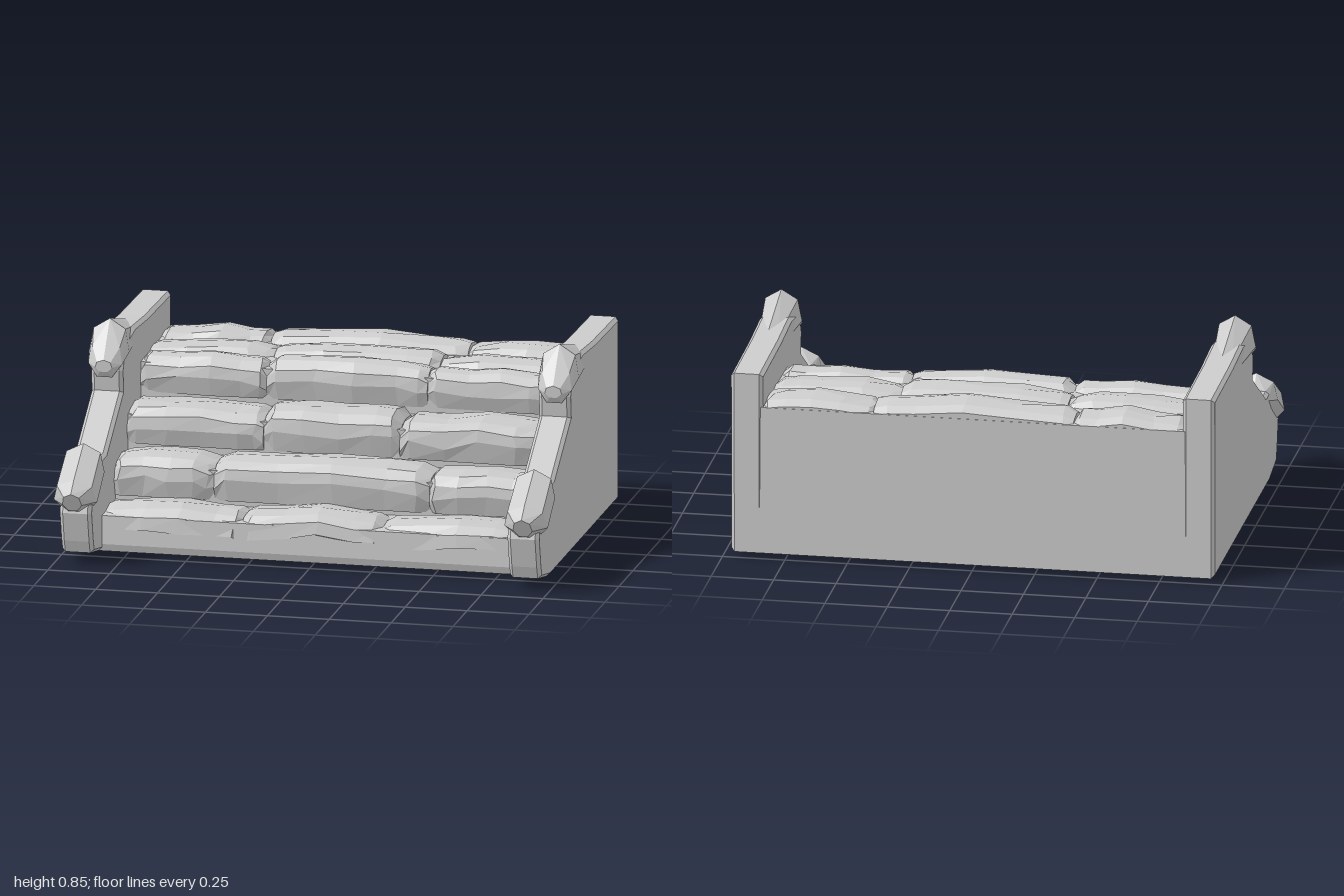
import * as THREE from 'three';
import { ConvexGeometry } from 'three/addons/geometries/ConvexGeometry.js';

const stoneMat = new THREE.MeshStandardMaterial({ color: 0xcccccc, flatShading: true });

function seeded(seed) {
  let s = seed * 7919 + 17;
  return () => {
    s = (s * 16807) % 2147483647;
    return s / 2147483647 - 0.5;
  };
}

function addMesh(parent, name, geometry) {
  const mesh = new THREE.Mesh(geometry, stoneMat);
  mesh.name = name;
  parent.add(mesh);
  return mesh;
}

// Extrude a side profile of [z, y] points from x0 to x1
function sideExtrude(points, x0, x1, bevel = 0) {
  const shape = new THREE.Shape(points.map(([z, y]) => new THREE.Vector2(z, y)));
  const geo = new THREE.ExtrudeGeometry(shape, {
    depth: x1 - x0 - 2 * bevel, bevelEnabled: bevel > 0, bevelSize: bevel,
    bevelThickness: bevel, bevelOffset: -bevel, bevelSegments: 1,
  });
  return geo.rotateY(-Math.PI / 2).translate(x1 - bevel, 0, 0);
}

// A roughly hewn slab: a chamfered cross-section swept along x, shrunk at its ends
function slabGeometry(x0, x1, yLow, yTop, zBack, zFront, seed) {
  const rnd = seeded(seed);
  for (let i = 0; i < 5; i++) rnd();
  const stations = [0, 0.06, 0.3, 0.55, 0.8, 0.94, 1];
  const inset = [0.028, 0.008, 0, -0.006, 0, 0.008, 0.028];
  const pos = [], index = [];
  const n = 8;
  stations.forEach((t, i) => {
    const x = x0 + (x1 - x0) * t;
    const d = inset[i];
    const top = yTop - d + rnd() * 0.014;
    const front = zFront - d * 0.7 + rnd() * 0.016;
    const depth = front - zBack;
    const skew = i > 0 && i < 6 ? 0.02 : 0;
    const ring = [
      [zBack, yLow],
      [zBack, top - 0.028],
      [zBack + depth * 0.16, top - 0.006],
      [zBack + depth * (0.5 + rnd() * 0.2), top + 0.004 + rnd() * 0.014],
      [front - 0.045 + rnd() * 0.015, top - 0.006],
      [front - 0.008, top - 0.035 + rnd() * 0.015],
      [front, top - 0.085 + rnd() * 0.03],
      [front - 0.02, yLow],
    ];
    ring.forEach(([z, y]) => pos.push(x + rnd() * skew, y, z));
  });
  for (let i = 0; i < stations.length - 1; i++) {
    for (let j = 0; j < n; j++) {
      const k = (j + 1) % n;
      const a = i * n + j, b = i * n + k, c = b + n, d = a + n;
      index.push(a, b, d, b, c, d);
    }
  }
  const last = (stations.length - 1) * n;
  for (let j = 1; j < n - 1; j++) {
    index.push(0, j + 1, j, last, last + j, last + j + 1);
  }
  const geo = new THREE.BufferGeometry();
  geo.setAttribute('position', new THREE.Float32BufferAttribute(pos, 3));
  geo.setIndex(index);
  geo.computeVertexNormals();
  return geo;
}

// Faceted knob: convex hull of [z, y centre, half width, half height] rings
function knobGeometry(side, xMid, rings) {
  const pts = [];
  for (const [z, y, w, h, lean = 0] of rings) {
    for (let k = 0; k < 7; k++) {
      const a = (k / 7) * Math.PI * 2 + Math.PI / 2;
      pts.push(new THREE.Vector3(side * (xMid + w * Math.cos(a)), y + h * Math.sin(a), z + lean * Math.sin(a)));
    }
  }
  return new ConvexGeometry(pts);
}

export function createModel() {
  const model = new THREE.Group();
  model.name = 'stoneStairs';

  // Solid stepped core with the plain first riser and flat back
  addMesh(model, 'stairCore', sideExtrude([
    [-0.74, 0.02], [0.485, 0.02], [0.495, 0.05], [0.49, 0.165], [0.25, 0.17], [0.25, 0.31],
    [0.03, 0.315], [0.03, 0.46], [-0.2, 0.465], [-0.2, 0.615], [-0.74, 0.625],
  ], -0.86, 0.86));

  // Slightly sagging underside
  const under = new THREE.PlaneGeometry(1.7, 1.2, 8, 6).rotateX(Math.PI / 2);
  const p = under.attributes.position;
  for (let i = 0; i < p.count; i++) {
    const sx = Math.cos((p.getX(i) / 1.7) * Math.PI);
    const sz = Math.cos((p.getZ(i) / 1.2) * Math.PI);
    p.setY(i, 0.0195 - 0.0195 * Math.max(0, sx * sz));
  }
  under.translate(0, 0, -0.14);
  addMesh(model, 'underside', under);

  // Rows of slabs: low y, top y, back z, front z, left and right joints
  const rows = [
    [0.13, 0.195, 0.24, 0.497, -0.28, 0.28],
    [0.19, 0.35, 0.03, 0.285, -0.44, 0.43],
    [0.345, 0.5, -0.2, 0.062, -0.29, 0.26],
    [0.495, 0.645, -0.335, -0.172, -0.33, 0.32],
    [0.54, 0.65, -0.53, -0.325, -0.34, 0.33],
    [0.54, 0.655, -0.738, -0.52, -0.4, 0.4],
  ];
  const treads = new THREE.Group();
  treads.name = 'treads';
  model.add(treads);
  rows.forEach(([yLow, yTop, zBack, zFront, jointA, jointB], r) => {
    const xs = [-0.845, jointA, jointB, 0.845];
    for (let i = 0; i < 3; i++) {
      const lift = i === 1 ? 0.012 : 0;
      addMesh(treads, `slab${r + 1}_${i + 1}`,
        slabGeometry(xs[i], xs[i + 1], yLow, yTop + lift, zBack, zFront, r * 3 + i + 1));
    }
  });

  // Side walls with an upper and a lower carved knob
  const wall = [
    [-0.74, 0.02], [0.48, 0.02], [0.64, 0.05], [0.66, 0.1], [0.69, 0.22], [0.66, 0.32],
    [0.5, 0.4], [0.41, 0.4], [0.12, 0.575], [0.13, 0.66], [0.08, 0.76],
    [-0.1, 0.785], [-0.33, 0.77], [-0.745, 0.763],
  ];
  for (const side of [-1, 1]) {
    const group = new THREE.Group();
    group.name = side > 0 ? 'leftWall' : 'rightWall';
    model.add(group);
    const [x0, x1] = side > 0 ? [0.84, 0.968] : [-0.968, -0.84];
    addMesh(group, 'wallPanel', sideExtrude(wall, x0, x1, 0.014));
    addMesh(group, 'upperKnob', knobGeometry(side, 0.908, [
      [-0.24, 0.72, 0.05, 0.055],
      [0.06, 0.745, 0.083, 0.107, -0.01],
      [0.13, 0.705, 0.07, 0.075, -0.02],
      [0.165, 0.685, 0.035, 0.025],
    ]));
    addMesh(group, 'lowerKnob', knobGeometry(side, 0.91, [
      [0.46, 0.375, 0.055, 0.04, 0.01],
      [0.515, 0.37, 0.088, 0.09, -0.005],
      [0.66, 0.28, 0.09, 0.075, 0.025],
      [0.72, 0.27, 0.04, 0.04, 0.02],
    ]));
  }
  return model;
}
